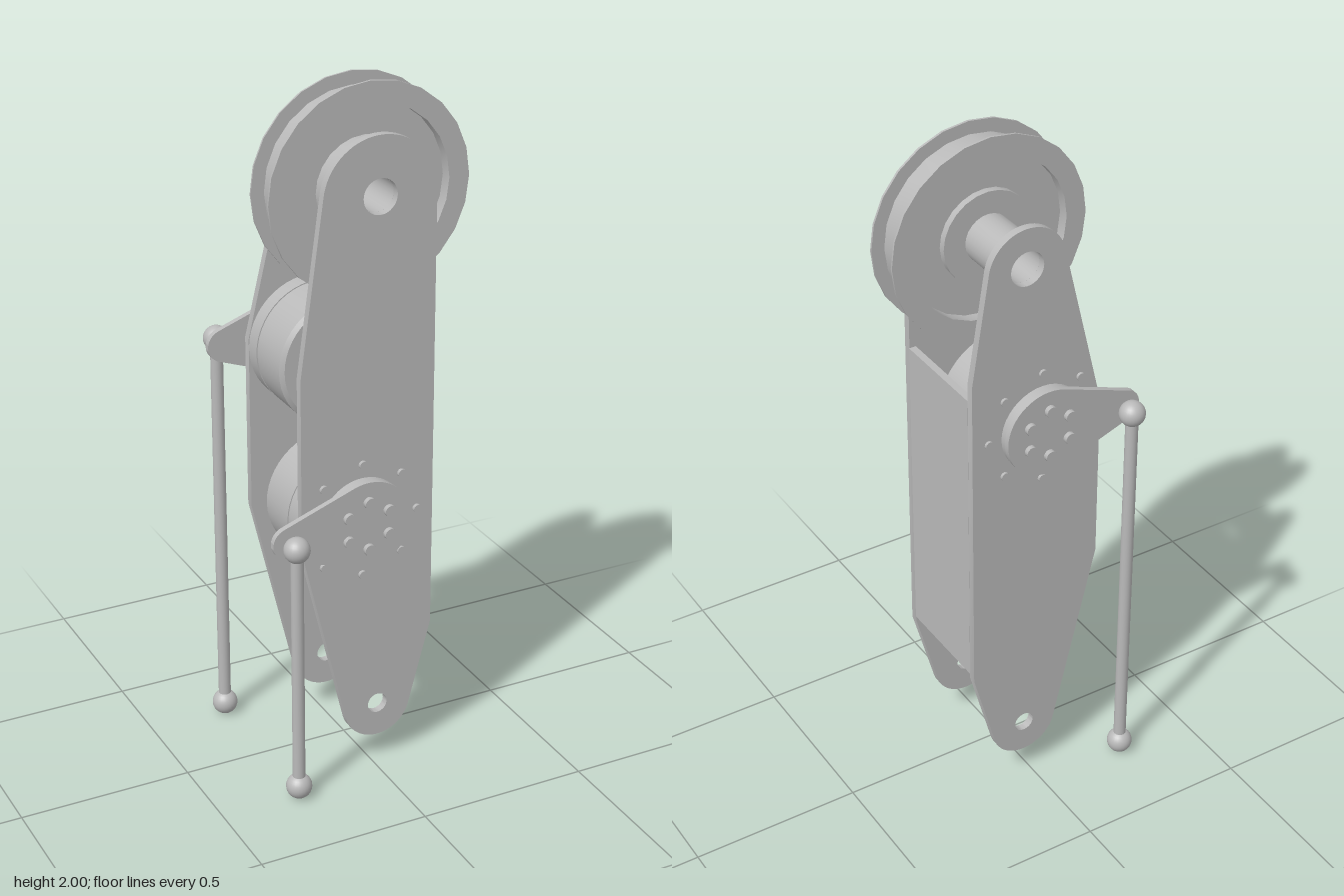
import * as THREE from 'three';
import { toCreasedNormals } from 'three/addons/utils/BufferGeometryUtils.js';

const metal = new THREE.MeshStandardMaterial({ color: 0xb9b9b9 });
metal.name = 'grey metal';

function add(parent, name, geometry, x = 0, y = 0, z = 0) {
  const mesh = new THREE.Mesh(geometry, metal);
  mesh.name = name;
  mesh.position.set(x, y, z);
  parent.add(mesh);
  return mesh;
}

// Cylinder along z, from z0 to z1
function zCylinder(r, z0, z1, sides) {
  return new THREE.CylinderGeometry(r, r, z1 - z0, sides).rotateX(Math.PI / 2).translate(0, 0, (z0 + z1) / 2);
}

// Revolve [radius, z] points about the z axis
function zLathe(points, sides) {
  const g = new THREE.LatheGeometry(points.map(([r, z]) => new THREE.Vector2(r, z)), sides);
  return toCreasedNormals(g.rotateX(Math.PI / 2), 0.5);
}

function extrude(shape, z0, z1) {
  const g = new THREE.ExtrudeGeometry(shape, { depth: z1 - z0, bevelEnabled: false, curveSegments: 16 });
  return toCreasedNormals(g.translate(0, 0, z0), 0.5);
}

function circleHole(x, y, r) {
  return new THREE.Path().absarc(x, y, r, 0, Math.PI * 2, true);
}

// Side plate with rounded ends; the right edge leans in above rightTop
function plateShape(topRadius, rightTop, startAngle, endAngle) {
  const s = new THREE.Shape();
  s.absarc(0.02, 0.183, 0.103, Math.PI + 0.2, Math.PI * 2 - 0.26, false);
  s.lineTo(0.188, 0.41);
  if (rightTop) s.lineTo(0.188, rightTop);
  s.absarc(0.02, 1.705, topRadius, startAngle, endAngle, false);
  s.lineTo(-0.215, 1.23);
  s.lineTo(-0.215, 0.72);
  s.closePath();
  s.holes.push(circleHole(0.02, 1.705, 0.05), circleHole(0.02, 0.183, 0.03));
  return s;
}

// Crank arm: two circles joined by tangents, tip towards -x
function armShape() {
  const reach = 0.24, big = 0.13, small = 0.048;
  const a = Math.PI - Math.acos((big - small) / reach);
  const s = new THREE.Shape();
  s.absarc(0, 0, big, -a, a, false);
  s.absarc(-reach, 0, small, a, Math.PI * 2 - a, false);
  s.closePath();
  return s;
}

// Motor with mounting bolts, output flange and crank arm, facing +z
function driveUnit(name) {
  const unit = new THREE.Group();
  unit.name = name;
  add(unit, 'motorBody', zLathe([
    [0, -0.055], [0.175, -0.055], [0.187, -0.045], [0.187, 0.088], [0.184, 0.088],
    [0.184, 0.098], [0.187, 0.098], [0.187, 0.146], [0.18, 0.15], [0, 0.15],
  ], 48));
  add(unit, 'outputFlange', zCylinder(0.128, 0.17, 0.197, 40));
  add(unit, 'crankArm', extrude(armShape(), 0.195, 0.212));
  const mountBolt = zCylinder(0.0125, 0.17, 0.183, 12);
  for (let i = 0; i < 8; i++) {
    const a = i * Math.PI / 4;
    add(unit, 'mountingBolt', mountBolt, 0.168 * Math.cos(a), 0.168 * Math.sin(a));
  }
  const armBolt = zCylinder(0.017, 0.21, 0.226, 14);
  for (let i = 0; i < 6; i++) {
    const a = Math.PI / 2 + i * Math.PI / 3;
    add(unit, 'armBolt', armBolt, 0.071 * Math.cos(a), 0.071 * Math.sin(a));
  }
  return unit;
}

// Vertical push rod with a ball at each end
function pushRod(name, top, z) {
  const rod = new THREE.Group();
  rod.name = name;
  const ball = new THREE.SphereGeometry(0.037, 24, 16), low = 0.037;
  add(rod, 'lowerBall', ball, 0, low);
  add(rod, 'upperBall', ball, 0, top);
  add(rod, 'shaft', new THREE.CylinderGeometry(0.018, 0.018, top - low, 20), 0, (top + low) / 2);
  rod.position.set(-0.268, 0, z);
  return rod;
}

export function createModel() {
  const model = new THREE.Group();
  model.name = 'legSegment';

  // Frame
  add(model, 'frontPlate', extrude(plateShape(0.167, 0, 0, Math.PI - 0.12), 0.15, 0.173));
  add(model, 'backPlate', extrude(plateShape(0.117, 1.4, 0.16, Math.PI - 0.24), -0.175, -0.152));
  add(model, 'sideCover', new THREE.BoxGeometry(0.021, 0.925, 0.304), 0.178, 0.887, -0.001);

  // Drives: lower faces front, upper is turned to face back
  const lower = driveUnit('lowerDrive');
  lower.position.set(-0.03, 0.78, 0);
  const upper = driveUnit('upperDrive');
  upper.position.set(-0.03, 1.206, 0);
  upper.rotation.x = Math.PI;
  model.add(lower, upper);
  add(model, 'cableTerminal', new THREE.BoxGeometry(0.045, 0.03, 0.025), -0.143, 0.925, 0.13);

  // Push rods
  model.add(pushRod('frontPushRod', 0.78, 0.253), pushRod('backPushRod', 1.207, -0.253));

  // Pulley: flanged rim, recessed web, bored hub and long sleeve in one profile
  add(model, 'pulleyWheel', zLathe([
    [0.05, -0.152], [0.07, -0.152], [0.07, 0.015], [0.135, 0.015], [0.135, 0.035],
    [0.235, 0.035], [0.235, 0.003], [0.295, 0.003], [0.295, 0.009], [0.257, 0.009],
    [0.257, 0.109], [0.295, 0.109], [0.295, 0.116], [0.235, 0.116], [0.235, 0.08],
    [0.142, 0.08], [0.142, 0.15], [0.05, 0.15], [0.05, -0.152],
  ], 24), 0.02, 1.705, 0);

  return model;
}
